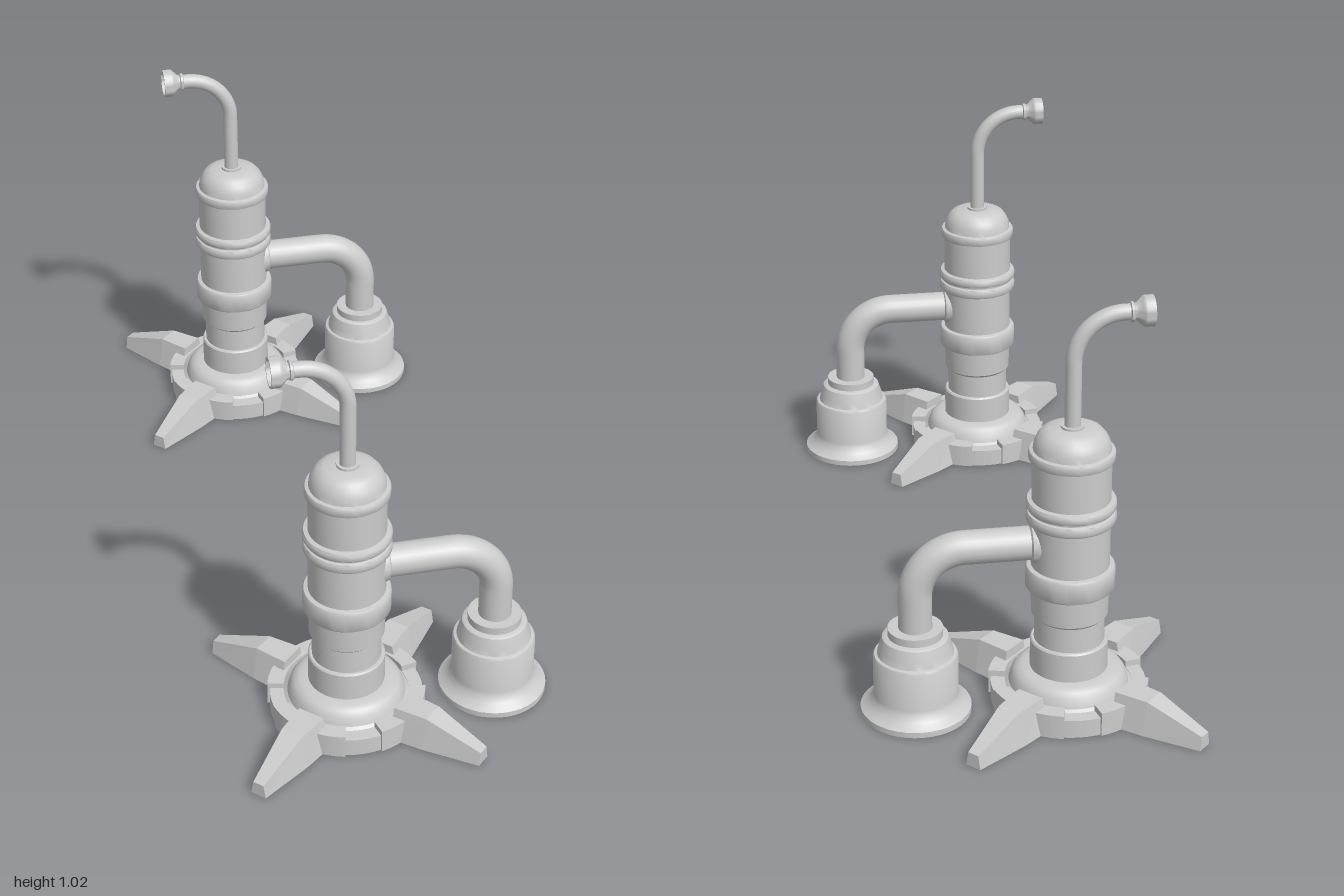
import * as THREE from 'three';
import { toCreasedNormals } from 'three/addons/utils/BufferGeometryUtils.js';

const smooth = new THREE.MeshStandardMaterial({ color: 0xcccccc, side: THREE.DoubleSide });
const faceted = new THREE.MeshStandardMaterial({ color: 0xcccccc, side: THREE.DoubleSide, flatShading: true });

function part(name, geometry, material = smooth) {
  const mesh = new THREE.Mesh(geometry, material);
  mesh.name = name;
  return mesh;
}

// Profile is a list of [radius, height] from bottom to top
function turned(name, profile, segments = 40) {
  const points = profile.map(([r, y]) => new THREE.Vector2(r, y));
  return part(name, toCreasedNormals(new THREE.LatheGeometry(points, segments), 0.6));
}

// Pipe running straight, round one right-angle bend, then straight again
function bentPipe(name, start, corner, end, bend, radius) {
  const a = new THREE.Vector3(...start), c = new THREE.Vector3(...corner), e = new THREE.Vector3(...end);
  const dirA = a.clone().sub(c).normalize(), dirE = e.clone().sub(c).normalize();
  const at = (dir, d) => c.clone().addScaledVector(dir, d);
  const path = new THREE.CurvePath();
  path.add(new THREE.LineCurve3(a, at(dirA, bend)));
  path.add(new THREE.CubicBezierCurve3(at(dirA, bend), at(dirA, bend * 0.448), at(dirE, bend * 0.448), at(dirE, bend)));
  path.add(new THREE.LineCurve3(at(dirE, bend), e));
  return part(name, new THREE.TubeGeometry(path, 48, radius, 24));
}

// Block shaped as a slice of a ring, standing on the ground
function ringSector(name, middle, halfAngle, inner, outer, height) {
  const shape = new THREE.Shape();
  shape.absarc(0, 0, outer, middle - halfAngle, middle + halfAngle, false);
  shape.absarc(0, 0, inner, middle + halfAngle, middle - halfAngle, true);
  shape.closePath();
  const geometry = new THREE.ExtrudeGeometry(shape, { depth: height, bevelEnabled: false, curveSegments: 12 });
  return part(name, toCreasedNormals(geometry.rotateX(-Math.PI / 2), 0.5));
}

// Tapered leg along +x, hollow from below: [distance, half width at foot, half width at top, height]
function legGeometry() {
  const sections = [[0.155, 0.052, 0.034, 0.083], [0.24, 0.044, 0.028, 0.083], [0.38, 0.02, 0.014, 0.035]];
  const positions = [], index = [];
  for (const [x, foot, top, h] of sections) {
    positions.push(x, 0, foot, x, h, top, x, h, -top, x, 0, -foot);
  }
  for (let s = 0; s < sections.length - 1; s++) {
    for (let k = 0; k < 3; k++) {
      const a = s * 4 + k, b = a + 4;
      index.push(a, b, b + 1, a, b + 1, a + 1);
    }
  }
  const e = (sections.length - 1) * 4;
  index.push(0, 1, 2, 0, 2, 3, e, e + 2, e + 1, e, e + 3, e + 2);
  const geometry = new THREE.BufferGeometry();
  geometry.setAttribute('position', new THREE.Float32BufferAttribute(positions, 3));
  geometry.setIndex(index);
  geometry.computeVertexNormals();
  return geometry;
}

function createPump() {
  const pump = new THREE.Group();
  const column = new THREE.Group();
  column.name = 'column';
  column.position.x = -0.107;
  pump.add(column);

  // Main cylinder with its rings and domed cap
  column.add(turned('cylinder', [
    [0.155, 0.04], [0.142, 0.05], [0.136, 0.07], [0.126, 0.084], [0.112, 0.09], [0.092, 0.092],
    [0.092, 0.162], [0.089, 0.166], [0.083, 0.166], [0.083, 0.228], [0.09, 0.235], [0.092, 0.3],
    [0.102, 0.304], [0.105, 0.309], [0.105, 0.355], [0.102, 0.36], [0.092, 0.362], [0.092, 0.475],
    [0.102, 0.476], [0.105, 0.481], [0.105, 0.494], [0.102, 0.5], [0.097, 0.502], [0.097, 0.506],
    [0.102, 0.508], [0.105, 0.513], [0.105, 0.525], [0.102, 0.53], [0.092, 0.532], [0.092, 0.63],
    [0.098, 0.631], [0.1, 0.635], [0.1, 0.65], [0.098, 0.654], [0.09, 0.656], [0.088, 0.671],
    [0.081, 0.687], [0.07, 0.7], [0.055, 0.707], [0.027, 0.709], [0.027, 0.714], [0, 0.714]
  ], 48));

  // Foot ring: tall sectors under the legs, low ones between
  const leg = legGeometry();
  for (let i = 0; i < 4; i++) {
    const cardinal = i * Math.PI / 2, diagonal = cardinal + Math.PI / 4;
    column.add(ringSector('ringBlock', diagonal, 0.55, 0.15, 0.19, 0.06));
    column.add(ringSector('ringLink', cardinal, 0.236, 0.15, 0.184, 0.045));
    const mesh = part('leg', leg, faceted);
    mesh.rotation.y = diagonal;
    column.add(mesh);
  }

  // Upper spout and its open nozzle pointing to -x
  column.add(bentPipe('spout', [0, 0.705, 0], [0, 0.983, 0], [-0.135, 0.983, 0], 0.115, 0.019));
  const nozzle = turned('nozzle', [
    [0.019, 0], [0.023, 0.002], [0.023, 0.008], [0.019, 0.01], [0.021, 0.016], [0.031, 0.026],
    [0.035, 0.03], [0.036, 0.034], [0.036, 0.054], [0.031, 0.054], [0.029, 0.034], [0, 0.028]
  ], 28);
  nozzle.rotation.z = Math.PI / 2;
  nozzle.position.set(-0.125, 0.983, 0);
  column.add(nozzle);

  // Side pipe with a flared joint at the cylinder
  pump.add(bentPipe('sidePipe', [-0.04, 0.42, 0], [0.257, 0.42, 0], [0.257, 0.21, 0], 0.115, 0.04));
  const joint = turned('pipeJoint', [[0.052, 0], [0.049, 0.03], [0.046, 0.04], [0.04, 0.043]], 28);
  joint.rotation.z = -Math.PI / 2;
  joint.position.set(-0.053, 0.42, 0);
  pump.add(joint);

  // Open bell at the end of the side pipe
  const bell = turned('bell', [
    [0.092, 0.145], [0.092, 0.05], [0.122, 0.012], [0.124, 0], [0.131, 0], [0.131, 0.014], [0.125, 0.018],
    [0.112, 0.028], [0.103, 0.042], [0.1, 0.052], [0.1, 0.148], [0.097, 0.153], [0.09, 0.155],
    [0.086, 0.172], [0.078, 0.198], [0.075, 0.2], [0.065, 0.202], [0.065, 0.221], [0.038, 0.221]
  ], 40);
  bell.position.x = 0.257;
  const roof = turned('bellRoof', [[0.092, 0.145], [0.07, 0.19], [0, 0.195]], 40);
  roof.position.x = 0.257;
  pump.add(bell, roof);
  return pump;
}

export function createModel() {
  const model = new THREE.Group();
  model.name = 'pumpPair';
  for (const side of [1, -1]) {
    const pump = createPump();
    pump.name = side > 0 ? 'frontPump' : 'backPump';
    pump.position.z = side * 0.715;
    model.add(pump);
  }
  return model;
}
